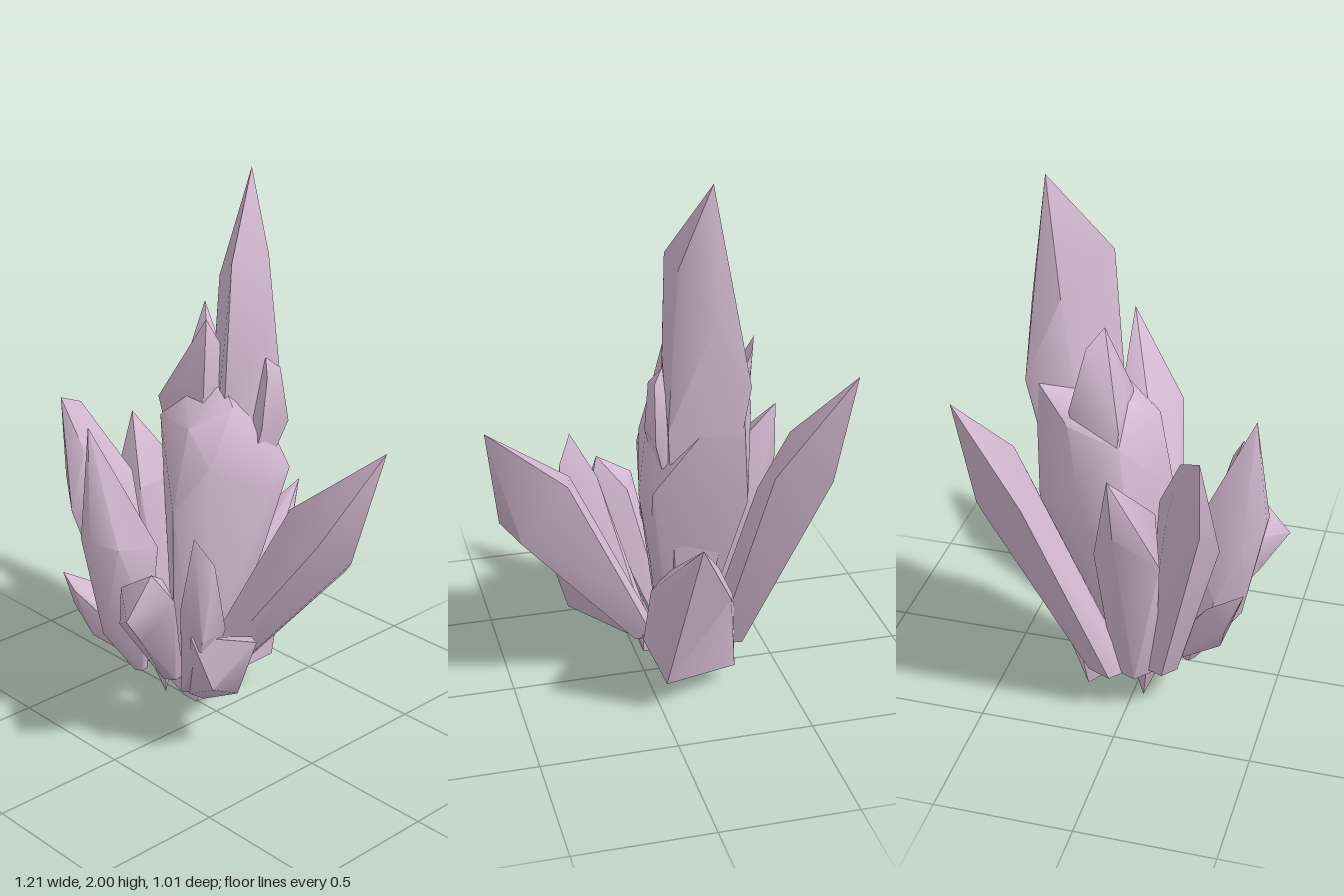
import * as THREE from 'three';
import { ConvexGeometry } from 'three/addons/geometries/ConvexGeometry.js';
import { toCreasedNormals } from 'three/addons/utils/BufferGeometryUtils.js';

const material = new THREE.MeshStandardMaterial({ color: 0xd6bbd3 });

// A faceted shard: the hull of its tip and shoulder corners over a small tapered foot.
function shard(group, name, foot, footRadius, corners) {
  const points = corners.map((c) => new THREE.Vector3(...c));
  for (let i = 0; i < 5; i++) {
    const a = (i / 5) * Math.PI * 2 + 0.4;
    points.push(new THREE.Vector3(
      foot[0] + Math.cos(a) * footRadius,
      foot[1],
      foot[2] + Math.sin(a) * footRadius));
  }
  // Softened facets: shallow edges blend, steep ones stay sharp
  const mesh = new THREE.Mesh(toCreasedNormals(new ConvexGeometry(points), 0.95), material);
  mesh.name = name;
  group.add(mesh);
}

export function createModel() {
  const group = new THREE.Group();
  group.name = 'crystalCluster';

  // Tall centre spire and the thick body around it
  shard(group, 'mainSpire', [-0.14, 0.2, -0.1], 0.07, [
    [-0.15, 2.0, -0.31], [-0.04, 1.71, -0.11], [-0.24, 1.6, -0.24],
    [-0.04, 1.71, -0.29], [-0.15, 1.55, -0.37], [-0.28, 1.3, -0.36],
    [0.0, 1.4, -0.24], [0.0, 1.15, -0.33], [-0.04, 1.24, -0.08]]);
  shard(group, 'mainBody', [-0.14, 0.12, 0.0], 0.08, [
    [-0.33, 1.17, -0.2], [-0.32, 1.1, -0.02], [-0.2, 1.22, -0.04],
    [-0.08, 1.13, 0.06], [0.0, 1.2, -0.08], [-0.1, 0.82, 0.12],
    [-0.34, 0.95, -0.17], [-0.26, 1.3, -0.33], [-0.29, 0.85, -0.32],
    [0.07, 0.86, -0.2], [0.05, 0.92, -0.32], [0.01, 1.0, 0.04],
    [0.03, 0.6, -0.2], [-0.06, 1.25, -0.1]]);
  shard(group, 'innerPoint', [-0.19, 0.7, -0.1], 0.06, [
    [-0.17, 1.48, -0.11], [-0.23, 1.42, -0.16], [-0.33, 1.17, -0.02],
    [-0.31, 1.22, -0.2], [-0.2, 1.24, -0.03], [-0.1, 1.22, -0.03],
    [-0.08, 1.25, -0.2]]);
  shard(group, 'sidePoint', [-0.1, 0.7, -0.18], 0.04, [
    [0.0, 1.35, -0.24], [0.04, 1.29, -0.21], [0.035, 1.31, -0.28],
    [0.04, 1.1, -0.32], [0.045, 1.1, -0.18], [-0.06, 1.2, -0.31]]);

  // Long leaning shards
  shard(group, 'leftShard', [-0.01, 0.13, 0.07], 0.06, [
    [0.605, 1.165, -0.22], [0.55, 0.77, -0.12], [0.5, 0.85, 0.0],
    [0.32, 0.92, -0.2], [0.29, 0.9, -0.08], [0.48, 0.7, -0.17],
    [0.28, 0.62, 0.04], [0.08, 0.4, -0.07]]);
  shard(group, 'backRightShard', [-0.3, 0.16, -0.07], 0.08, [
    [-0.605, 1.365, -0.505], [-0.575, 0.97, -0.29], [-0.42, 1.12, -0.36],
    [-0.34, 1.0, -0.46], [-0.31, 0.92, -0.36], [-0.55, 0.96, -0.455]]);
  shard(group, 'frontShard', [-0.2, 0.18, 0.2], 0.025, [
    [-0.19, 1.205, 0.425], [-0.26, 0.75, 0.4], [-0.19, 0.8, 0.47],
    [-0.14, 0.8, 0.47], [-0.07, 0.77, 0.4], [-0.08, 0.72, 0.21],
    [-0.25, 0.75, 0.21], [-0.28, 0.5, 0.31], [-0.06, 0.5, 0.3],
    [-0.18, 0.4, 0.39]]);
  shard(group, 'rightShard', [-0.28, 0.18, 0.12], 0.06, [
    [-0.495, 1.2, 0.3], [-0.47, 1.175, 0.23], [-0.48, 0.9, 0.3],
    [-0.39, 0.8, 0.35], [-0.38, 1.02, 0.29], [-0.27, 0.75, 0.27],
    [-0.32, 0.92, 0.12], [-0.43, 0.9, 0.17], [-0.23, 0.7, 0.15]]);
  shard(group, 'rightRearShard', [-0.28, 0.16, 0.02], 0.08, [
    [-0.48, 1.07, -0.02], [-0.49, 0.85, 0.0], [-0.43, 0.72, 0.15],
    [-0.3, 0.85, 0.1], [-0.26, 0.88, -0.08], [-0.38, 0.7, -0.1]]);

  // Short stubs around the foot
  shard(group, 'backStub', [-0.14, 0.13, -0.05], 0.08, [
    [-0.08, 0.78, -0.505], [-0.23, 0.48, -0.35], [-0.2, 0.58, -0.29],
    [-0.27, 0.43, -0.24], [0.03, 0.48, -0.22], [0.02, 0.5, -0.33],
    [0.0, 0.36, -0.29], [-0.05, 0.5, -0.14], [-0.31, 0.07, -0.15],
    [-0.01, 0.13, -0.3], [0.0, 0.13, 0.01]]);
  shard(group, 'frontLeftStub', [-0.09, 0.17, 0.14], 0.04, [
    [0.09, 0.73, 0.39], [0.09, 0.59, 0.505], [-0.05, 0.64, 0.41],
    [0.13, 0.62, 0.32], [0.0, 0.64, 0.26], [-0.05, 0.5, 0.42],
    [0.07, 0.47, 0.42]]);
  shard(group, 'leftStub', [0.0, 0.15, 0.12], 0.05, [
    [0.21, 0.88, 0.3], [0.12, 0.72, 0.24], [0.26, 0.78, 0.25],
    [0.26, 0.5, 0.31], [0.16, 0.6, 0.32], [0.26, 0.52, 0.2]]);
  shard(group, 'lowLeftStub', [0.02, 0.14, 0.11], 0.04, [
    [0.2, 0.505, 0.31], [0.325, 0.46, 0.11], [0.24, 0.43, 0.055],
    [0.12, 0.31, 0.025], [0.26, 0.24, 0.14], [0.26, 0.3, 0.26],
    [0.12, 0.4, 0.1], [0.04, 0.11, 0.1], [0.14, 0.24, 0.22]]);
  shard(group, 'frontRightStub', [-0.22, 0.2, 0.14], 0.05, [
    [-0.35, 0.6, 0.43], [-0.37, 0.45, 0.37], [-0.31, 0.53, 0.41],
    [-0.27, 0.45, 0.33], [-0.35, 0.52, 0.3], [-0.3, 0.33, 0.34]]);

  // Root pieces underneath
  shard(group, 'rootSpike', [-0.25, 0.22, 0.06], 0.07, [[-0.24, 0.0, 0.04]]);
  shard(group, 'rootBlock', [-0.04, 0.15, 0.05], 0.06, [
    [-0.07, 0.08, 0.01], [0.0, 0.08, 0.01], [0.0, 0.08, 0.1], [-0.07, 0.08, 0.1],
    [-0.26, 0.17, 0.1], [-0.26, 0.17, 0.0]]);

  return group;
}
